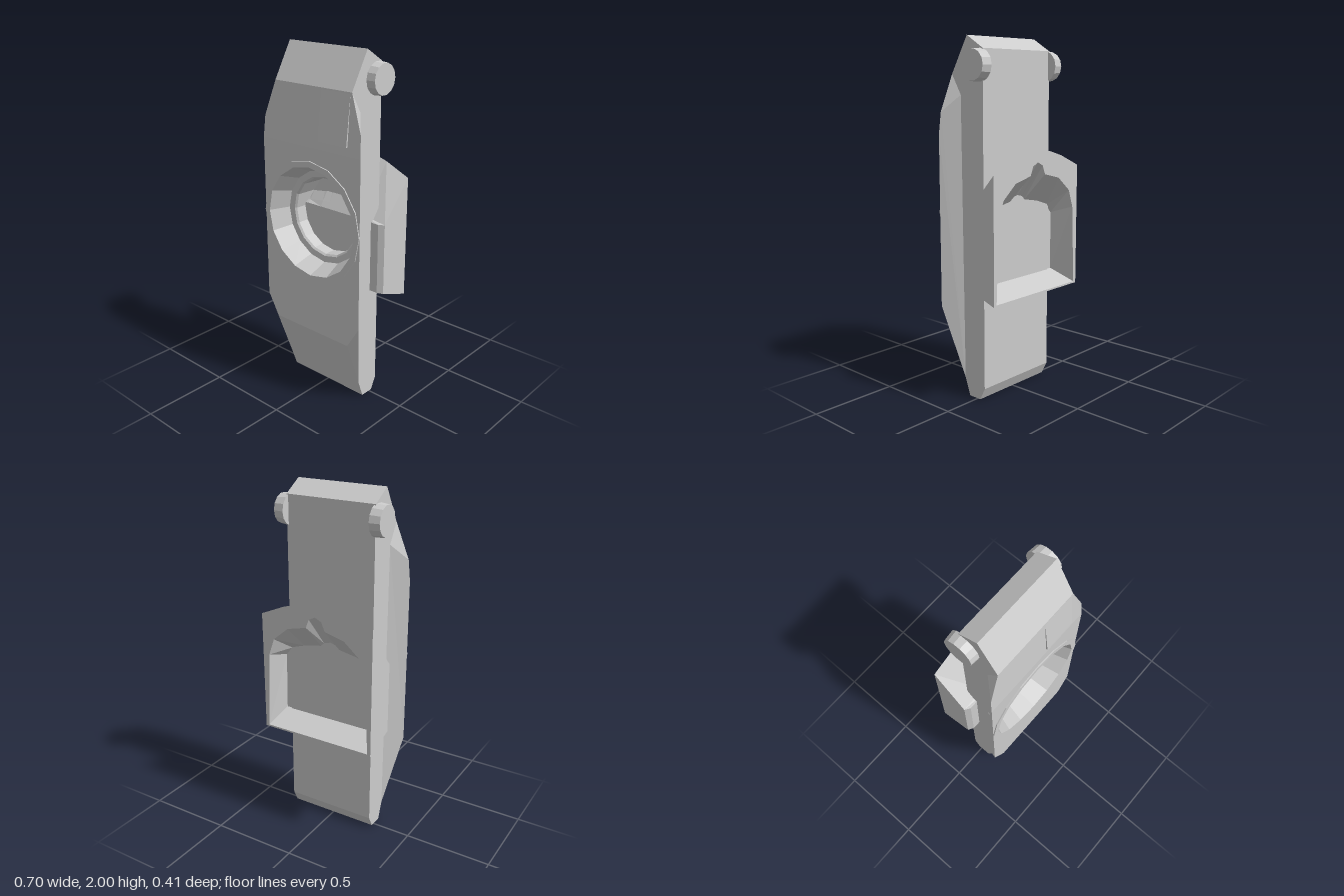
import * as THREE from 'three';

const material = new THREE.MeshStandardMaterial({ color: 0xcccccc, flatShading: true });
const SIDES = 16;
const RING_Y = 1.055;

function addMesh(parent, name, geometry) {
  const mesh = new THREE.Mesh(geometry, material);
  mesh.name = name;
  parent.add(mesh);
  return mesh;
}

// Flat-faced geometry from convex polygons, each split as a fan
function fromPolygons(polygons) {
  const positions = [];
  for (const p of polygons) {
    for (let i = 1; i < p.length - 1; i++) positions.push(...p[0], ...p[i], ...p[i + 1]);
  }
  const geometry = new THREE.BufferGeometry();
  geometry.setAttribute('position', new THREE.Float32BufferAttribute(positions, 3));
  geometry.computeVertexNormals();
  return geometry;
}

const mirror = ([x, y, z]) => [-x, y, z];

// Chamfered slab whose front edges flare outward
function bodyShell() {
  const top = [0.27, 2, 0.06], brow = [0.27, 1.8, 0.175];
  const shoulder = [0.342, 1.6, 0.191], upper = [0.35, 1.48, 0.2];
  const lower = [0.35, 0.52, 0.2], chin = [0.27, 0.39, 0.2];
  const flareLow = [0.27, 0.1, 0.096], flareHigh = [0.27, 1.69, 0.11];
  const foot = [0.27, 0, 0.06], heel = [0.27, 0, -0.02];
  const backLow = [0.27, 0.07, -0.055], backHigh = [0.27, 1.93, -0.055];

  const polygons = [[brow, mirror(brow), mirror(shoulder), mirror(upper), upper, shoulder]];
  const sides = [
    [backHigh, top, brow, flareHigh, flareLow, foot, heel, backLow],
    [flareLow, flareHigh, shoulder, upper, lower],
    [flareLow, lower, chin],
    [flareHigh, brow, shoulder],
  ];
  for (const s of sides) polygons.push(s, s.map(mirror).reverse());
  const strips = [[backHigh, top], [top, brow], [chin, foot], [foot, heel], [heel, backLow], [backLow, backHigh]];
  for (const [a, b] of strips) polygons.push([a, mirror(a), mirror(b), b]);
  return fromPolygons(polygons);
}

// Flat front panel with the round opening
function frontPanel() {
  const half = [[0.27, 0.39], [0.35, 0.52], [0.35, 1.48]];
  const outline = [...half, ...half.map(([x, y]) => [-x, y]).reverse()];
  const shape = new THREE.Shape(outline.map(([x, y]) => new THREE.Vector2(x, y)));
  const hole = [];
  for (let i = 0; i < SIDES; i++) {
    const a = (-i / SIDES) * Math.PI * 2;
    hole.push(new THREE.Vector2(0.33 * Math.cos(a), RING_Y + 0.33 * Math.sin(a)));
  }
  shape.holes.push(new THREE.Path(hole));
  return new THREE.ShapeGeometry(shape).translate(0, 0, 0.2);
}

// Raised rim running inward down to the recess floor
function recess() {
  const profile = [
    [0.35, 0.198], [0.35, 0.206], [0.315, 0.206], [0.27, 0.09],
    [0.235, 0.085], [0.225, 0.075], [0.22, -0.045], [0, -0.045],
  ].map(([r, z]) => new THREE.Vector2(r, z));
  return new THREE.LatheGeometry(profile, SIDES).rotateX(Math.PI / 2).translate(0, RING_Y, 0);
}

// Hood: cross-sections from the front wall, over the rear rim, into the cavity
function hood() {
  const section = (z, half) => [
    ...half.map(([x, y]) => [x, y, z]),
    ...half.slice(0, -1).reverse().map(([x, y]) => [-x, y, z]),
  ];
  const rings = [
    section(0.01, [[0.32, 0.665], [0.32, 0.9], [0.32, 1.07], [0.2, 1.075], [0.1, 1.075], [0.05, 1.075], [0, 1.075]]),
    section(-0.01, [[0.35, 0.66], [0.35, 0.9], [0.35, 1.07], [0.2, 1.09], [0.1, 1.105], [0.05, 1.105], [0, 1.105]]),
    section(-0.205, [[0.35, 0.59], [0.35, 1.1], [0.35, 1.29], [0.2, 1.355], [0.1, 1.385], [0.05, 1.39], [0, 1.39]]),
    section(-0.205, [[0.33, 0.6], [0.31, 1.05], [0.275, 1.15], [0.18, 1.23], [0.06, 1.26], [0.04, 1.31], [0, 1.33]]),
    section(-0.05, [[0.305, 0.66], [0.3, 1], [0.26, 1.05], [0.17, 1.08], [0.06, 1.1], [0.04, 1.12], [0, 1.13]]),
  ];
  const polygons = [];
  const n = rings[0].length;
  for (let r = 0; r < rings.length - 1; r++) {
    const a = rings[r], b = rings[r + 1];
    for (let i = 0; i < n; i++) {
      const j = (i + 1) % n;
      polygons.push([a[i], b[i], b[j], a[j]]);
    }
  }
  const first = rings[0], last = rings[rings.length - 1];
  for (let i = 0; i < n; i++) {
    const j = (i + 1) % n;
    polygons.push([[0, 0.8, first[0][2]], first[i], first[j]]);
    polygons.push([[0, 0.8, last[0][2]], last[j], last[i]]);
  }
  return fromPolygons(polygons);
}

// Thin wedge tab on the upper front
function tab() {
  const side = [[0.176, 1.79], [0.16, 1.79], [0.18, 1.525], [0.206, 1.525]];
  const shape = new THREE.Shape(side.map(([z, y]) => new THREE.Vector2(z, y)));
  return new THREE.ExtrudeGeometry(shape, { depth: 0.195, bevelEnabled: false })
    .rotateY(-Math.PI / 2).translate(0.26, 0, 0);
}

export function createModel() {
  const model = new THREE.Group();
  model.name = 'device';

  const body = new THREE.Group();
  body.name = 'body';
  addMesh(body, 'bodyShell', bodyShell());
  addMesh(body, 'frontPanel', frontPanel());
  model.add(body);

  addMesh(model, 'roundRecess', recess());
  addMesh(model, 'rearHood', hood());
  addMesh(model, 'frontTab', tab());

  // Hinge pins on both sides
  for (const [name, s] of [['leftPin', 1], ['rightPin', -1]]) {
    const pin = new THREE.CylinderGeometry(0.083, 0.089, 0.06, 14).rotateZ(-s * Math.PI / 2);
    addMesh(model, name, pin).position.set(s * 0.29, 1.845, -0.021);
  }
  return model;
}
